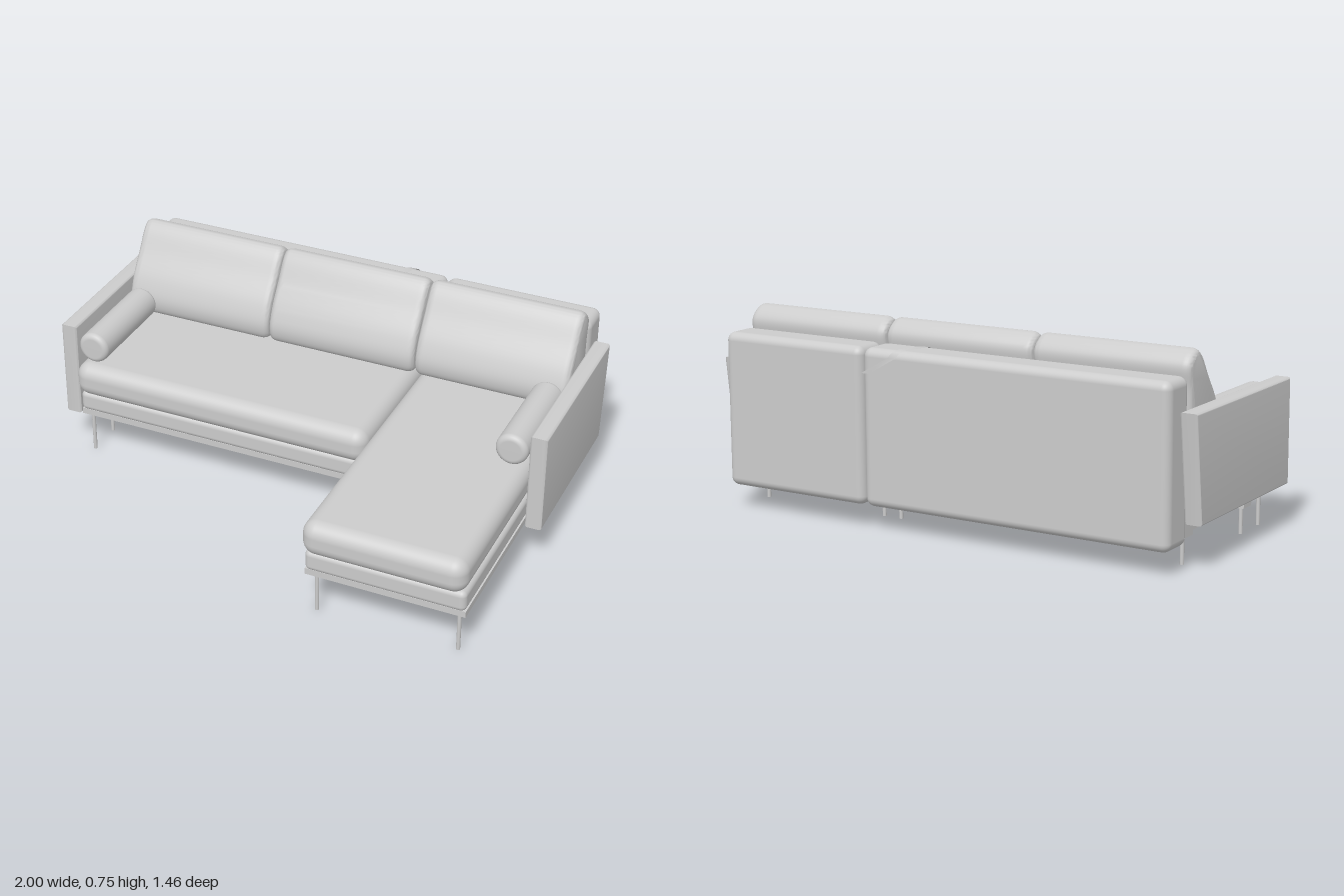
import * as THREE from 'three';
import { toCreasedNormals } from 'three/addons/utils/BufferGeometryUtils.js';
import { RoundedBoxGeometry } from 'three/addons/geometries/RoundedBoxGeometry.js';

const material = new THREE.MeshStandardMaterial({ color: 0xcccccc, roughness: 0.8 });
const thin = new THREE.MeshStandardMaterial({ color: 0xcccccc, side: THREE.DoubleSide });

export function createModel() {
  const sofa = new THREE.Group();
  sofa.name = 'cornerSofa';

  const add = (name, geometry, mat = material) => {
    const mesh = new THREE.Mesh(geometry, mat);
    mesh.name = name;
    sofa.add(mesh);
    return mesh;
  };

  // box given by its limits, rounded when r > 0
  const block = (name, [x0, x1], [y0, y1], [z0, z1], r = 0) => {
    const size = [x1 - x0, y1 - y0, z1 - z0];
    const geometry = r ? new RoundedBoxGeometry(...size, 6, r) : new THREE.BoxGeometry(...size);
    add(name, geometry).position.set((x0 + x1) / 2, (y0 + y1) / 2, (z0 + z1) / 2);
  };

  // side profile in (z, y) carried from x0 to x1 with softened ends
  const acrossX = (name, shape, [x0, x1], thickness, inset, crease) => {
    const geometry = new THREE.ExtrudeGeometry(shape, {
      depth: x1 - x0 - 2 * thickness, steps: 1, curveSegments: 48,
      bevelThickness: thickness, bevelSize: inset, bevelOffset: -inset, bevelSegments: 6,
    });
    geometry.rotateY(-Math.PI / 2);
    geometry.translate(x1 - thickness, 0, 0);
    add(name, toCreasedNormals(geometry, crease));
  };

  const mainX = [-0.935, 0.308];
  const chaiseX = [0.312, 0.935];

  // seats: cushion, padded base and thin frame
  for (const [label, span, front] of [['main', mainX, 0.13], ['chaise', chaiseX, 0.73]]) {
    const inner = [span[0] + 0.005, span[1] - 0.005];
    block(label + 'SeatCushion', span, [0.272, 0.412], [-0.57, front], 0.055);
    block(label + 'SeatBase', inner, [0.188, 0.273], [-0.575, front - 0.035], 0.022);
    block(label + 'Frame', inner, [0.165, 0.19], [-0.575, front - 0.045]);
    block(label + 'Backrest', span, [0.085, 0.672], [-0.73, -0.58], 0.032);
  }

  // arms with a slanted rear edge
  const armShape = new THREE.Shape([
    [0.088, 0.165], [0.088, 0.56], [-0.655, 0.56], [-0.608, 0.165],
  ].reverse().map(([z, y]) => new THREE.Vector2(z, y)));
  acrossX('rightArm', armShape, [-1, -0.935], 0.01, 0.008, 0.6);
  acrossX('leftArm', armShape, [0.935, 1], 0.01, 0.008, 0.6);

  // leaning back cushions with a soft closed profile
  const outline = new THREE.CatmullRomCurve3([
    [-0.565, 0.42], [-0.46, 0.41], [-0.36, 0.42], [-0.342, 0.475], [-0.368, 0.56],
    [-0.43, 0.655], [-0.483, 0.734], [-0.515, 0.754], [-0.555, 0.738],
    [-0.583, 0.7], [-0.575, 0.62], [-0.572, 0.51],
  ].reverse().map(([z, y]) => new THREE.Vector3(z, y, 0)), true);
  const cushionShape = new THREE.Shape(
    outline.getPoints(72).slice(0, -1).map((p) => new THREE.Vector2(p.x, p.y)));
  for (const span of [[-0.935, -0.316], [-0.312, 0.306], [0.312, 0.932]]) {
    acrossX('backCushion', cushionShape, span, 0.032, 0.022, 1.0);
  }

  // bolsters lying along the arms
  const r = 0.063, length = 0.425, edge = 0.022;
  const bolsterProfile = [new THREE.Vector2(0, -length / 2)];
  for (const end of [-1, 1]) {
    for (let i = 0; i <= 6; i++) {
      const a = (end < 0 ? i : 6 - i) / 6 * Math.PI / 2;
      bolsterProfile.push(new THREE.Vector2(
        r - edge + edge * Math.sin(a), end * (length / 2 - edge + edge * Math.cos(a))));
    }
  }
  bolsterProfile.push(new THREE.Vector2(0, length / 2));
  for (const x of [-0.871, 0.861]) {
    const bolster = add('bolster', new THREE.LatheGeometry(bolsterProfile, 40));
    bolster.rotation.x = Math.PI / 2;
    bolster.position.set(x, 0.473, -0.132);
  }

  // under-seat box and its end rails
  block('underBox', [-0.9, 0.29], [0.11, 0.166], [-0.51, -0.1]);
  block('underRail', [-0.915, 0.3], [0.102, 0.166], [-0.105, -0.043]);
  block('underRail', [-0.915, 0.3], [0.102, 0.166], [-0.565, -0.505]);

  // slim legs
  const legs = [
    [0.355, 0.66], [0.9, 0.66], [0.355, -0.535], [0.9, -0.535],
    ...[-0.89, 0.28].flatMap((x) => [0.07, -0.075, -0.535].map((z) => [x, z])),
  ];
  for (const [x, z] of legs) {
    add('leg', new THREE.CylinderGeometry(0.0075, 0.0075, 0.17, 16)).position.set(x, 0.085, z);
  }

  // diagonal fabric fold over the top and back of the main backrest
  const rows = [
    [0.085, 0.118, 0.66, -0.585], [0.095, 0.128, 0.675, -0.61], [0.13, 0.163, 0.675, -0.7],
    [0.143, 0.176, 0.667, -0.723], [0.16, 0.193, 0.645, -0.733], [0.275, 0.308, 0.58, -0.733],
  ];
  const positions = [], index = [];
  rows.forEach(([x0, x1, y, z], i) => {
    positions.push(x0, y, z, x1, y, z);
    const a = 2 * i;
    if (i) index.push(a - 2, a - 1, a, a - 1, a + 1, a);
  });
  const fold = new THREE.BufferGeometry();
  fold.setAttribute('position', new THREE.Float32BufferAttribute(positions, 3));
  fold.setIndex(index);
  fold.computeVertexNormals();
  add('fabricFold', fold, thin);

  return sofa;
}
